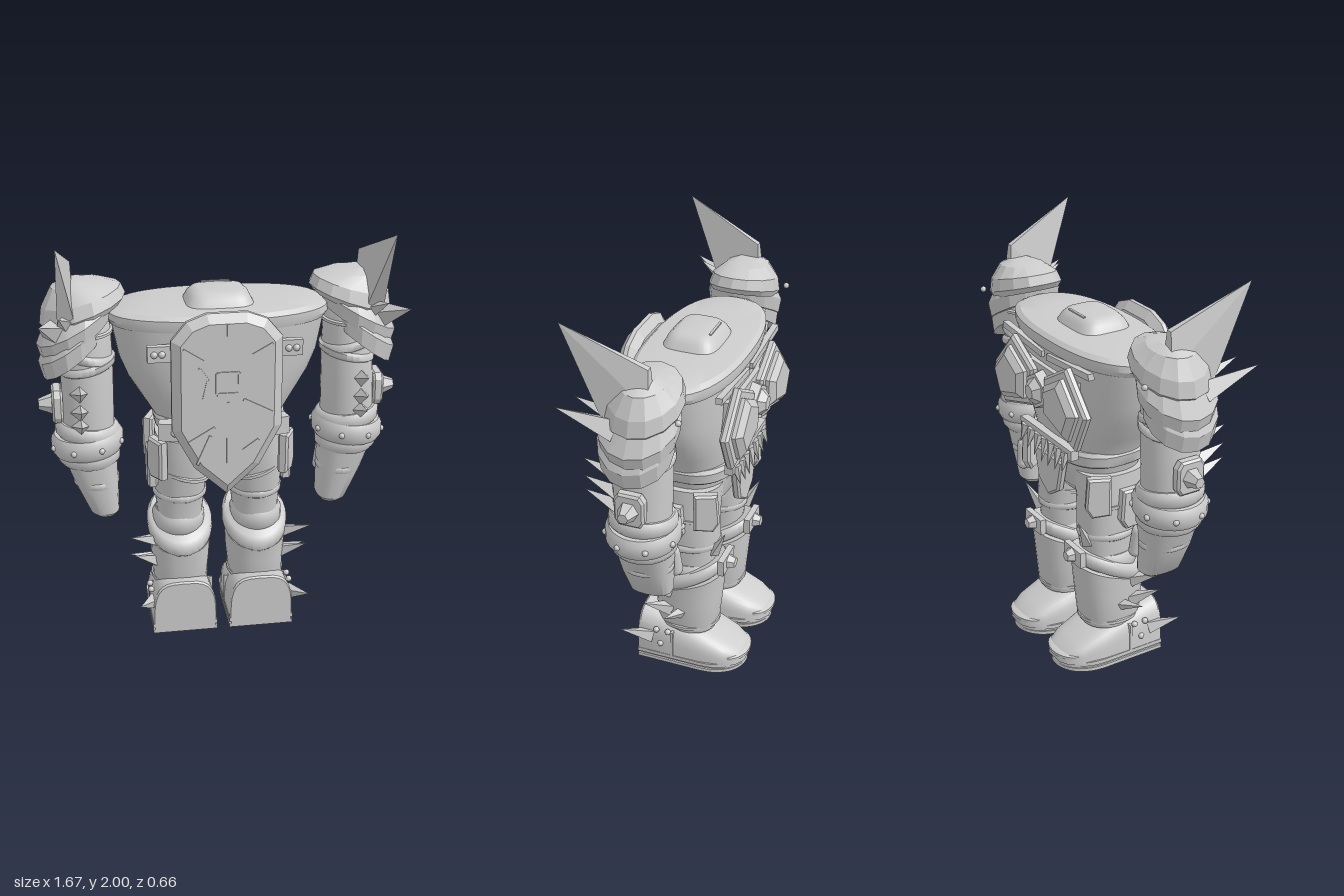
import * as THREE from 'three';
import { toCreasedNormals } from 'three/addons/utils/BufferGeometryUtils.js';
import { ConvexGeometry } from 'three/addons/geometries/ConvexGeometry.js';

const stone = new THREE.MeshStandardMaterial({ color: 0xcccccc });
stone.name = 'pale stone';
const V = (a) => new THREE.Vector3(...a);

function add(parent, name, geo, pos = [0, 0, 0], rot = [0, 0, 0]) {
  const m = new THREE.Mesh(geo, stone);
  m.name = name;
  m.position.set(...pos);
  m.rotation.set(...rot);
  parent.add(m);
  return m;
}

// Closed skin over a row of rings
function skin(rings, crease = 0.6) {
  const n = rings[0].length, p = [], idx = [];
  rings.forEach((r) => r.forEach((v) => p.push(...v)));
  for (let i = 0; i < rings.length - 1; i++) for (let j = 0; j < n; j++) {
    const a = i * n + j, b = i * n + (j + 1) % n;
    idx.push(a, a + n, b, b, a + n, b + n);
  }
  [0, rings.length - 1].forEach((i) => {
    const c = p.length / 3, mid = [0, 1, 2].map((k) => rings[i].reduce((s, v) => s + v[k] / n, 0));
    p.push(...mid);
    for (let j = 0; j < n; j++) {
      const a = i * n + j, b = i * n + (j + 1) % n;
      if (i === 0) idx.push(c, a, b); else idx.push(c, b, a);
    }
  });
  const g = new THREE.BufferGeometry();
  g.setAttribute('position', new THREE.Float32BufferAttribute(p, 3));
  g.setIndex(idx);
  return toCreasedNormals(g, crease);
}
const pw = (v, e) => Math.sign(v) * Math.abs(v) ** (2 / e);

// Sections [y, cx, cz, rx, rz, tiltX, tiltZ], lowest first
function loft(sections, n = 28, e = 2, crease = 0.6) {
  return skin(sections.map(([y, cx, cz, rx, rz, tx = 0, tz = 0]) => Array.from({ length: n }, (_, j) => {
    const t = j / n * Math.PI * 2, x = rx * pw(Math.cos(t), e), z = rz * pw(Math.sin(t), e);
    return [cx + x, y + tx * x + tz * z, cz + z];
  })), crease);
}
// Rounded band around a limb
const band = (y, h, cx, cz, rx, rz, tx = 0, tz = 0) => loft([
  [y - h / 2, cx, cz, rx - 0.015, rz - 0.015, tx, tz], [y - h / 4, cx, cz, rx, rz, tx, tz],
  [y + h / 4, cx, cz, rx, rz, tx, tz], [y + h / 2, cx, cz, rx - 0.015, rz - 0.015, tx, tz]], 28, 2, 0.9);

function plate(points, depth, bevel = 0.01, size = bevel) {
  const s = new THREE.Shape(points.map(([x, y]) => new THREE.Vector2(x, y)));
  return new THREE.ExtrudeGeometry(s, { depth, bevelEnabled: bevel > 0, bevelThickness: bevel,
    bevelSize: size, bevelOffset: -size, bevelSegments: 1 });
}
function spike(parent, base, tip, r, sides = 4) {
  const b = V(base), d = V(tip).sub(b), h = d.length();
  const g = new THREE.ConeGeometry(r, h, sides).toNonIndexed();
  g.translate(0, h / 2, 0);
  g.computeVertexNormals();
  add(parent, 'spike', g, base).quaternion.setFromUnitVectors(V([0, 1, 0]), d.normalize());
}
const rivet = (parent, pos, r = 0.014) => add(parent, 'rivet', new THREE.SphereGeometry(r, 10, 8), pos);
const faceted = (g) => { const f = g.toNonIndexed(); f.computeVertexNormals(); return f; };

function buildTorso(g) {
  add(g, 'torso', loft([[1.0, 0, 0, 0.27, 0.19], [1.1, 0, 0, 0.3, 0.205], [1.2, 0, 0, 0.36, 0.215],
    [1.3, 0, 0, 0.42, 0.22], [1.4, 0, 0, 0.46, 0.225], [1.56, 0, 0, 0.49, 0.23]], 48, 2.4));
  add(g, 'collarRim', loft([[1.56, 0, 0, 0.495, 0.235], [1.585, 0, 0, 0.51, 0.24], [1.615, 0, 0, 0.505, 0.24],
    [1.632, 0, 0, 0.47, 0.22], [1.64, 0, 0, 0.3, 0.14]], 48, 2.4, 0.5));
  add(g, 'neck', loft([[1.62, 0, 0.015, 0.165, 0.14], [1.67, 0, 0.015, 0.14, 0.115],
    [1.695, 0, 0.015, 0.115, 0.09], [1.7, 0, 0.015, 0.09, 0.07]], 32, 4));
  add(g, 'neckSlot', new THREE.BoxGeometry(0.13, 0.006, 0.012), [0, 1.699, -0.07]);
  add(g, 'belt', loft([[1.04, 0, 0, 0.29, 0.215], [1.05, 0, 0, 0.3, 0.225], [1.1, 0, 0, 0.31, 0.23],
    [1.12, 0, 0, 0.3, 0.22]], 40, 2.6));
  add(g, 'pelvis', loft([[0.84, 0, 0, 0.12, 0.12], [0.9, 0, 0, 0.24, 0.17], [1.06, 0, 0, 0.28, 0.195]], 32, 2.6));
}

function buildShield(g) {
  const half = [[0.09, 1.67], [0.18, 1.635], [0.25, 1.55], [0.25, 1.12], [0.15, 0.93]];
  const outline = [[0, 0.79], ...half.slice().reverse(), ...half.map(([x, y]) => [-x, y])];
  add(g, 'shield', plate(outline, 0.02, 0.032, 0.04), [0, 0, 0.27]);
  // Carved lines and square ornament
  const lines = [[0, 1.45, 0, 1.63], [0, 0.96, 0, 1.26], [-0.2, 1.52, -0.11, 1.46], [0.11, 1.48, 0.2, 1.53],
    [0.07, 1.27, 0.2, 1.2], [-0.13, 1.43, -0.09, 1.37], [-0.09, 1.37, -0.11, 1.28], [-0.18, 1.07, -0.06, 1.14],
    [0.07, 1.02, 0.14, 1.07], [-0.14, 0.96, -0.08, 1.1], [-0.05, 1.3, 0.05, 1.3], [-0.05, 1.4, 0.05, 1.4],
    [-0.05, 1.3, -0.05, 1.4], [0.05, 1.3, 0.05, 1.4]];
  lines.forEach(([x, y, u, v]) => add(g, 'shieldLine',
    new THREE.BoxGeometry(Math.hypot(u - x, v - y), 0.012, 0.008),
    [(x + u) / 2, (y + v) / 2, 0.323], [0, 0, Math.atan2(v - y, u - x)]));
  add(g, 'shieldMount', new THREE.BoxGeometry(0.4, 0.3, 0.06), [0, 1.4, 0.22]);
}

function buildBack(g) {
  // Faceted gem in a hexagonal setting
  const hex = (r, R, h) => faceted(new THREE.CylinderGeometry(r, R, h, 6));
  add(g, 'gemSetting', hex(0.085, 0.1, 0.06), [0, 1.37, -0.265], [-Math.PI / 2, 0, 0]);
  add(g, 'gem', hex(0.035, 0.07, 0.035), [0, 1.37, -0.31], [-Math.PI / 2, 0, 0]);
  add(g, 'emblemMount', new THREE.BoxGeometry(0.5, 0.16, 0.06), [0, 1.4, -0.22]);
  // Loincloth plate and fang fringe
  add(g, 'loinPlate', plate([[-0.13, 1.04], [-0.09, 0.88], [0, 0.82], [0.09, 0.88], [0.13, 1.04]], 0.02), [0, 0, -0.225]);
  add(g, 'backBelt', new THREE.BoxGeometry(0.46, 0.05, 0.04), [0, 1.12, -0.225]);
  for (let i = -3; i <= 3; i++) {
    spike(g, [i * 0.06, 1.12, -0.24], [i * 0.064, 1.0 + Math.abs(i) * 0.01, -0.27], 0.027, 6);
  }
}

// Everything that exists once per side, built on +x
function buildSide(g) {
  // Back emblem wing
  const wing = [[0.05, 1.45], [0.24, 1.56], [0.41, 1.38], [0.32, 1.19], [0.06, 1.27]];
  add(g, 'emblemWing', plate(wing, 0.02, 0.012), [0, 0, -0.27]);
  const c = [0.22, 1.37];
  const inner = wing.map(([x, y]) => [c[0] + (x - c[0]) * 0.75, c[1] + (y - c[1]) * 0.75]);
  add(g, 'wingPanel', plate(inner, 0.02, 0.025, 0.03), [0, 0, -0.3]);
  add(g, 'backStrap', new THREE.BoxGeometry(0.36, 0.03, 0.03), [0.2, 1.545, -0.23], [0, 0, 0.08]);
  // Shield brackets
  add(g, 'shieldBracket', new THREE.BoxGeometry(0.13, 0.075, 0.03), [0.285, 1.475, 0.235]);
  [0.285, 0.32].forEach((x) => rivet(g, [x, 1.475, 0.25], 0.016));
  add(g, 'beltBracket', new THREE.BoxGeometry(0.13, 0.085, 0.06), [0.235, 1.08, 0.195], [0, 0.25, 0]);
  rivet(g, [0.23, 1.08, 0.228], 0.018);

  // Shoulder armour, three overlapping layers
  add(g, 'lowerPauldron', loft([[1.42, 0.665, 0.03, 0.14, 0.165, -0.75], [1.5, 0.67, 0.03, 0.155, 0.17, -0.7],
    [1.58, 0.66, 0.02, 0.12, 0.13, -0.5]], 14, 2, 0.3));
  add(g, 'middlePauldron', loft([[1.5, 0.65, 0.02, 0.16, 0.17, -0.6], [1.57, 0.655, 0.02, 0.175, 0.18, -0.55],
    [1.65, 0.64, 0.01, 0.14, 0.14, -0.4]], 14, 2, 0.3));
  add(g, 'upperPauldron', loft([[1.6, 0.61, 0.01, 0.165, 0.155, -0.36], [1.63, 0.615, 0.01, 0.195, 0.17, -0.33],
    [1.69, 0.62, 0.005, 0.18, 0.155, -0.27], [1.745, 0.635, 0, 0.12, 0.1, -0.12],
    [1.765, 0.64, 0, 0.05, 0.05]], 14, 2, 0.3));
  add(g, 'shoulderBlade', faceted(new ConvexGeometry([[0.735, 2.0, 0.33], [0.66, 1.83, -0.04], [0.69, 1.83, -0.04],
    [0.65, 1.66, -0.05], [0.72, 1.66, -0.05], [0.66, 1.62, 0.16], [0.735, 1.6, 0.16]].map(V))));
  spike(g, [0.74, 1.55, 0.1], [0.82, 1.655, 0.325], 0.065);
  spike(g, [0.69, 1.58, 0.1], [0.73, 1.67, 0.275], 0.05);
  rivet(g, [0.705, 1.62, -0.175]);

  // Arm
  add(g, 'upperArm', loft([[1.05, 0.615, 0.03, 0.125, 0.13], [1.25, 0.61, 0.03, 0.122, 0.135],
    [1.4, 0.605, 0.025, 0.118, 0.13], [1.53, 0.6, 0.02, 0.108, 0.125], [1.6, 0.6, 0.02, 0.1, 0.115],
    [1.64, 0.6, 0.02, 0.07, 0.08]]));
  add(g, 'armStrap', band(1.42, 0.05, 0.605, 0.025, 0.128, 0.14, 0.2));
  add(g, 'armStrap', band(1.37, 0.05, 0.605, 0.025, 0.13, 0.142, -0.2));
  add(g, 'armRing', band(1.53, 0.025, 0.6, 0.02, 0.118, 0.135));
  add(g, 'upperCuff', band(1.05, 0.08, 0.615, 0.03, 0.15, 0.155, 0.12));
  add(g, 'middleCuff', band(0.99, 0.1, 0.618, 0.03, 0.168, 0.17, -0.08));
  add(g, 'lowerCuff', band(0.925, 0.08, 0.612, 0.03, 0.145, 0.15));
  add(g, 'hand', loft([[0.61, 0.545, 0.025, 0.05, 0.08], [0.63, 0.55, 0.025, 0.07, 0.1],
    [0.77, 0.58, 0.03, 0.1, 0.118], [0.9, 0.605, 0.03, 0.122, 0.128]], 24, 2.6));
  add(g, 'knuckleBand', band(0.79, 0.05, 0.583, 0.03, 0.108, 0.124));
  add(g, 'thumb', new THREE.CapsuleGeometry(0.032, 0.1, 4, 10), [0.52, 0.78, -0.075], [0.1, 0, -0.1]);
  [1.14, 1.21, 1.3].forEach((y) => spike(g, [0.65, y - 0.04, 0.13], [0.65, y + 0.02, 0.29], 0.045));
  for (let i = 0; i < 8; i++) {
    const t = i / 8 * Math.PI * 2 + 0.35, x = 0.168 * Math.cos(t);
    rivet(g, [0.618 + x, 0.99 - 0.08 * x, 0.03 + 0.17 * Math.sin(t)]);
  }
  // Elbow boss
  const oct = [[-0.07, -0.05], [-0.05, -0.08], [0.05, -0.08], [0.07, -0.05], [0.07, 0.05], [0.05, 0.08], [-0.05, 0.08], [-0.07, 0.05]];
  add(g, 'elbowPlate', plate(oct, 0.03), [0.735, 1.18, 0.03], [0, Math.PI / 2, 0]);
  add(g, 'elbowBoss', faceted(new THREE.CylinderGeometry(0.025, 0.048, 0.06, 6)), [0.805, 1.18, 0.03], [0, 0, -Math.PI / 2]);

  // Hip plates, front and back
  const hip = [[-0.06, 0.1], [0.05, 0.1], [0.06, -0.05], [0.03, -0.1], [-0.06, -0.09]];
  [[0.31, 0.14, 1.1], [0.31, -0.14, 2.0]].forEach(([x, z, a]) => {
    add(g, 'hipPlate', plate(hip, 0.03), [x - 0.02, 0.92, z], [0, a, 0]);
  });
  add(g, 'sideHipPlate', plate(hip, 0.03), [0.305, 0.83, 0.02], [0, Math.PI / 2, 0]);

  // Leg
  add(g, 'thigh', loft([[0.46, 0.19, -0.02, 0.105, 0.12], [0.58, 0.185, -0.02, 0.11, 0.13],
    [0.7, 0.183, -0.02, 0.122, 0.145], [0.85, 0.175, 0, 0.132, 0.16], [1.0, 0.165, 0, 0.135, 0.17]], 28, 2.3));
  add(g, 'kneeBand', band(0.68, 0.05, 0.183, -0.02, 0.13, 0.15));
  add(g, 'kneePad', band(0.53, 0.1, 0.19, -0.02, 0.125, 0.14));
  add(g, 'thighStrap', band(0.8, 0.03, 0.178, 0, 0.138, 0.16, 0.3));
  add(g, 'shinGuard', loft([[0.19, 0.188, -0.015, 0.125, 0.14], [0.22, 0.188, -0.015, 0.132, 0.148],
    [0.35, 0.185, -0.018, 0.142, 0.16, 0, -0.15], [0.46, 0.185, -0.02, 0.147, 0.172, 0, -0.35]], 28, 2.4));
  add(g, 'shinRim', band(0.5, 0.075, 0.185, -0.02, 0.158, 0.185, 0, -0.44));
  add(g, 'ankleBand', band(0.22, 0.03, 0.188, -0.015, 0.14, 0.155));
  add(g, 'kneePlate', new THREE.BoxGeometry(0.15, 0.08, 0.03), [0.185, 0.58, -0.2]);
  add(g, 'kneeGem', faceted(new THREE.CylinderGeometry(0.025, 0.04, 0.04, 6)), [0.185, 0.58, -0.23], [-Math.PI / 2, 0, 0]);
  spike(g, [0.22, 0.64, -0.15], [0.25, 0.78, -0.22], 0.03);
  spike(g, [0.31, 0.43, 0.04], [0.44, 0.5, 0.13], 0.038);
  spike(g, [0.31, 0.32, 0.04], [0.42, 0.4, 0.13], 0.038);
  spike(g, [0.31, 0.31, -0.02], [0.44, 0.35, 0.02], 0.03);

  // Boot with layered sole
  const boot = [[0.2, 0.15, 0.265], [0.19, 0.155, 0.272], [0.02, 0.155, 0.24], [-0.12, 0.152, 0.185],
    [-0.23, 0.135, 0.135], [-0.29, 0.1, 0.1], [-0.32, 0.05, 0.07]];
  add(g, 'boot', skin(boot.map(([z, w, h]) => Array.from({ length: 17 }, (_, k) => {
    const t = k / 16 * Math.PI;
    return [0.187 + w * pw(Math.cos(t), 3.5), 0.04 + (h - 0.04) * pw(Math.sin(t), 3.5), z];
  }))));
  [[0, 0.018, 0.157], [0.018, 0.012, 0.148], [0.03, 0.02, 0.157]].forEach(([y, h, w]) => {
    const s = new THREE.Shape();
    s.moveTo(-w, -0.2).lineTo(w, -0.2).lineTo(w, 0.12);
    s.bezierCurveTo(w, 0.38, -w, 0.38, -w, 0.12);
    const geo = new THREE.ExtrudeGeometry(s, { depth: h, bevelEnabled: false, curveSegments: 20 });
    add(g, 'sole', geo.rotateX(-Math.PI / 2), [0.187, y, 0]);
  });
  add(g, 'toeCap', band(0.075, 0.03, 0.187, -0.24, 0.12, 0.09));
  add(g, 'bootSeam', new THREE.BoxGeometry(0.316, 0.14, 0.012), [0.187, 0.12, 0.02]);
  spike(g, [0.33, 0.14, 0.13], [0.41, 0.195, 0.265], 0.04);
  [[0.19, 0.1], [0.19, 0.04], [0.11, 0.08]].forEach(([y, z]) => rivet(g, [0.342, y, z], 0.015));
}

export function createModel() {
  const model = new THREE.Group();
  model.name = 'armouredGolem';
  buildTorso(model);
  buildShield(model);
  buildBack(model);
  [['leftSide', 1], ['rightSide', -1]].forEach(([name, s]) => {
    const side = new THREE.Group();
    side.name = name;
    buildSide(side);
    side.scale.x = s;
    model.add(side);
  });
  return model;
}
